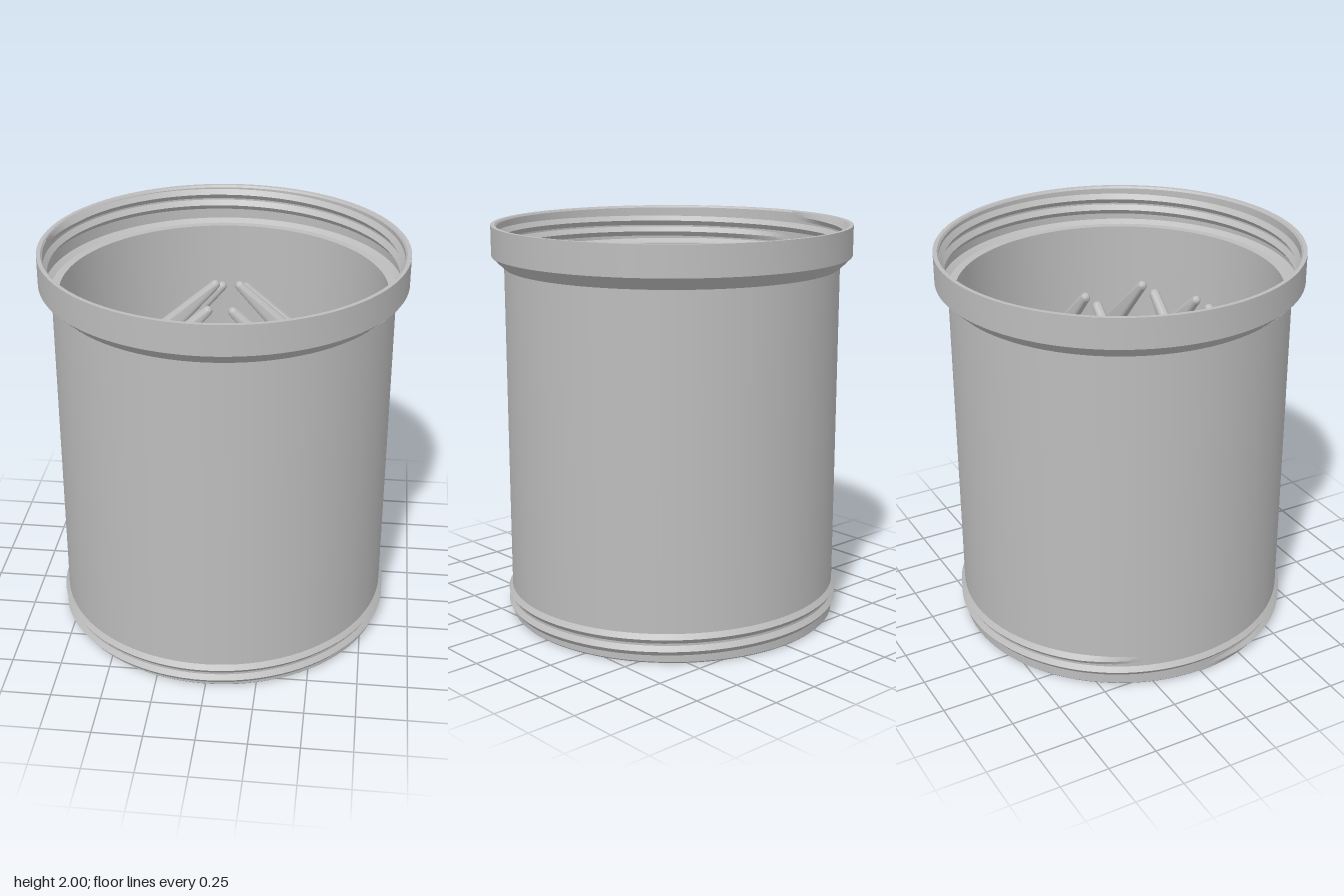
import * as THREE from 'three';
import { toCreasedNormals } from 'three/addons/utils/BufferGeometryUtils.js';
import { ConvexGeometry } from 'three/addons/geometries/ConvexGeometry.js';

const grey = new THREE.MeshStandardMaterial({ color: 0xbcbcbc });
grey.name = 'grey plastic';

function addMesh(parent, name, geometry) {
  const mesh = new THREE.Mesh(geometry, grey);
  mesh.name = name;
  parent.add(mesh);
  return mesh;
}

// Helical ridge of triangular section; a crest smaller than the root faces inward
function threadGeometry(root, crest, yStart, turns, pitch) {
  const half = pitch * 0.45, perTurn = 96, steps = Math.round(turns * perTurn);
  const positions = [], index = [];
  for (let i = 0; i <= steps; i++) {
    const a = (i / perTurn) * Math.PI * 2;
    const y = yStart + (i / perTurn) * pitch;
    const fade = Math.min(1, i / 6, (steps - i) / 6);
    const section = [[root, -half], [root + (crest - root) * fade, 0], [root, half]];
    for (const [r, dy] of section) positions.push(-r * Math.cos(a), y + dy, r * Math.sin(a));
  }
  for (let i = 0; i < steps; i++) {
    for (let j = 0; j < 2; j++) {
      const a = i * 3 + j, b = a + 3, c = a + 4, d = a + 1;
      if (crest > root) index.push(a, b, c, a, c, d);
      else index.push(a, c, b, a, d, c);
    }
  }
  const geometry = new THREE.BufferGeometry();
  geometry.setAttribute('position', new THREE.Float32BufferAttribute(positions, 3));
  geometry.setIndex(index);
  return toCreasedNormals(geometry, 0.5);
}

// Points on a small sphere, used as a corner of a rounded hull
function ballPoints(x, y, r) {
  const points = [];
  for (let i = 0; i <= 8; i++) {
    const v = (i / 8) * Math.PI;
    const count = i === 0 || i === 8 ? 1 : 16;
    for (let j = 0; j < count; j++) {
      const u = (j / 16) * Math.PI * 2;
      points.push(new THREE.Vector3(
        x + r * Math.sin(v) * Math.cos(u), y + r * Math.cos(v), r * Math.sin(v) * Math.sin(u)));
    }
  }
  return points;
}

// Tapered tooth rising from the wall towards the middle, base height at y = 0
function toothGeometry(wall) {
  const tip = 0.062;
  const hull = new ConvexGeometry([
    ...ballPoints(wall, 0.03, 0.033),
    ...ballPoints(wall, 0.22, 0.033),
    ...ballPoints(tip, 0.85 - (0.784 - wall), 0.024),
  ]);
  return toCreasedNormals(hull, 0.6);
}

export function createModel() {
  const model = new THREE.Group();
  model.name = 'toothedTube';

  // Open tube with a flared collar and a socket inside the top
  const profile = [
    [0.83, 0], [0.838, 0.008], [0.838, 1.79], [0.9, 1.85], [0.9, 2], [0.88, 2],
    [0.872, 1.99], [0.872, 1.82], [0.845, 1.8], [0.803, 1.8], [0.803, 0], [0.83, 0],
  ].map(([r, y]) => new THREE.Vector2(r, y));
  addMesh(model, 'tubeBody', toCreasedNormals(new THREE.LatheGeometry(profile, 96), 0.5));

  // Screw threads outside the foot and inside the collar
  addMesh(model, 'footThread', threadGeometry(0.836, 0.857, 0.028, 1.95, 0.06));
  addMesh(model, 'collarThread', threadGeometry(0.873, 0.852, 1.85, 2, 0.06));

  // Two crossed tiers of teeth: the lower from front and back, the upper from the sides
  const tiers = [
    { name: 'lowerTeeth', base: 0.15, angles: [Math.PI / 2, -Math.PI / 2] },
    { name: 'upperTeeth', base: 0.88, angles: [0, Math.PI] },
  ];
  for (const { name, base, angles } of tiers) {
    const tier = new THREE.Group();
    tier.name = name;
    tier.position.y = base;
    for (const angle of angles) {
      const row = new THREE.Group();
      row.name = 'toothRow';
      row.rotation.y = angle;
      for (const offset of [-0.48, -0.16, 0.16, 0.48]) {
        const wall = Math.sqrt(0.8 * 0.8 - offset * offset);
        addMesh(row, 'tooth', toothGeometry(wall)).position.z = offset;
      }
      tier.add(row);
    }
    model.add(tier);
  }
  return model;
}
